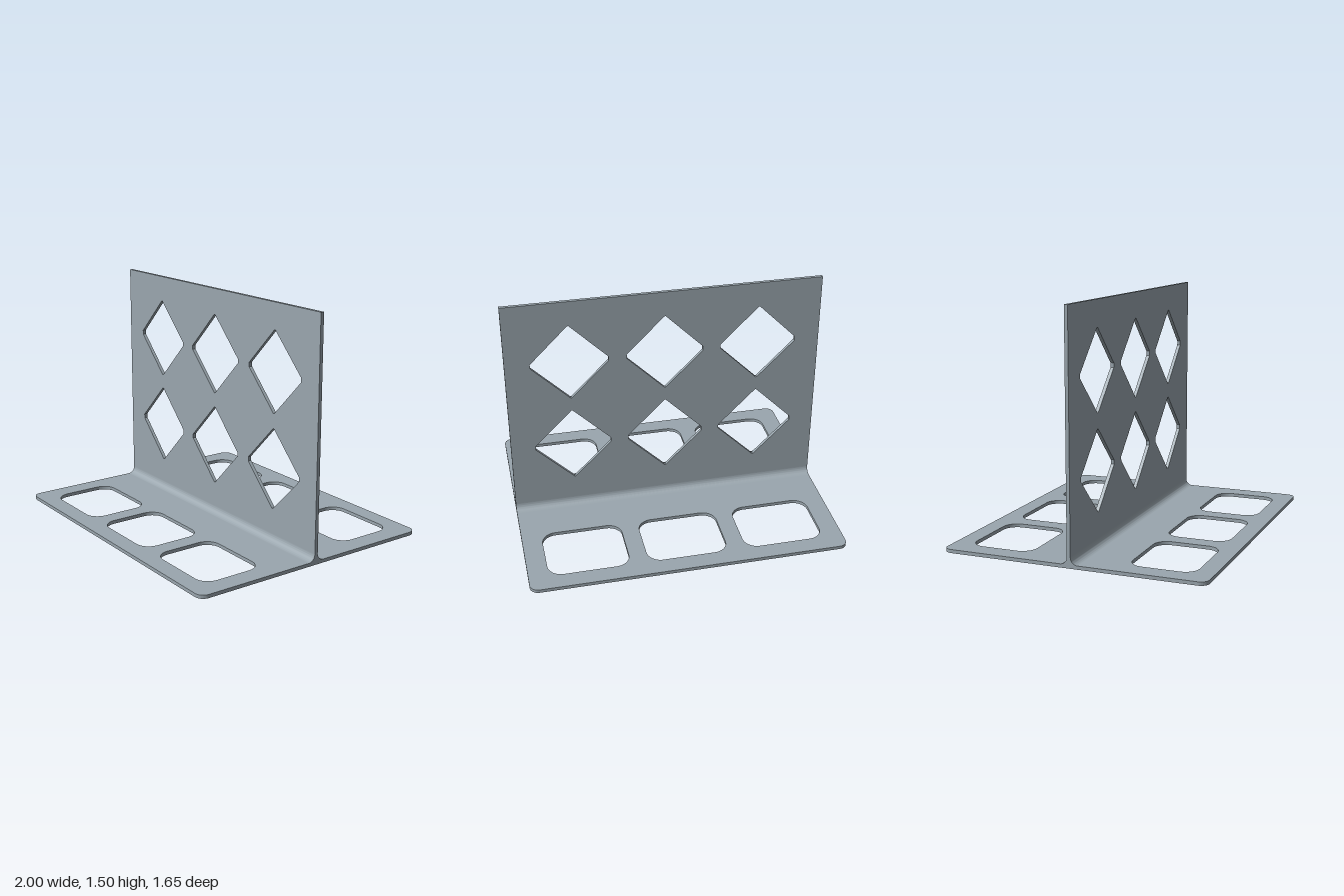
import * as THREE from 'three';
import { toCreasedNormals } from 'three/addons/utils/BufferGeometryUtils.js';

const PLATE = 0.022; // sheet thickness
const HEIGHT = 1.5;
const DEPTH = 1.65;
const COLUMNS = [-1, 0, 1];

// Rounded rectangle centred on (cx, cy), drawn into a Shape or Path
function roundedRect(path, cx, cy, w, h, r) {
  const x = w / 2, y = h / 2;
  path.moveTo(cx - x + r, cy - y);
  path.lineTo(cx + x - r, cy - y);
  path.absarc(cx + x - r, cy - y + r, r, -Math.PI / 2, 0);
  path.absarc(cx + x - r, cy + y - r, r, 0, Math.PI / 2);
  path.absarc(cx - x + r, cy + y - r, r, Math.PI / 2, Math.PI);
  path.absarc(cx - x + r, cy - y + r, r, Math.PI, Math.PI * 1.5);
  return path;
}

// Diamond opening with blunted side corners
function diamond(cx, cy) {
  const half = 0.257, side = 0.243, tip = 0.004;
  const flat = half - side;
  return new THREE.Path([
    [tip, half - tip], [-tip, half - tip], [-side, flat], [-side, -flat],
    [-tip, tip - half], [tip, tip - half], [side, -flat], [side, flat],
  ].map(([x, y]) => new THREE.Vector2(cx + x, cy + y)));
}

function extrude(shape, depth) {
  const geometry = new THREE.ExtrudeGeometry(shape, { depth, bevelEnabled: false, curveSegments: 10 });
  return toCreasedNormals(geometry, Math.PI / 6);
}

export function createModel() {
  const model = new THREE.Group();
  model.name = 'perforatedStand';
  const metal = new THREE.MeshStandardMaterial({ color: 0x9aa6ae });
  metal.name = 'blue grey metal';

  const add = (name, geometry) => {
    const mesh = new THREE.Mesh(geometry, metal);
    mesh.name = name;
    model.add(mesh);
  };

  // Base plate with two rows of rounded windows
  const base = roundedRect(new THREE.Shape(), 0, 0, 2, DEPTH, 0.055);
  for (const row of [-1, 1]) {
    for (const col of COLUMNS) {
      base.holes.push(roundedRect(new THREE.Path(), col * 0.62, row * 0.51, 0.508, 0.406, 0.09));
    }
  }
  add('basePlate', extrude(base, PLATE).rotateX(-Math.PI / 2));

  // Upright plate with two rows of diamonds
  const wall = new THREE.Shape();
  wall.moveTo(-1, PLATE);
  wall.lineTo(1, PLATE);
  wall.lineTo(1, HEIGHT);
  wall.lineTo(-1, HEIGHT);
  for (const y of [0.483, 1.083]) {
    for (const col of COLUMNS) wall.holes.push(diamond(col * 0.6, y));
  }
  add('uprightPlate', extrude(wall, PLATE).translate(0, 0, -PLATE / 2));

  // Concave fillets where the plates meet, front and back
  const r = 0.045;
  const fillet = new THREE.Shape();
  fillet.moveTo(0, 0);
  fillet.lineTo(r, 0);
  fillet.absarc(r, r, r, Math.PI * 1.5, Math.PI, true);
  for (const side of [-1, 1]) {
    const geometry = extrude(fillet, 2)
      .translate(PLATE / 2, PLATE, -1)
      .rotateY(-side * Math.PI / 2);
    add(side > 0 ? 'frontFillet' : 'backFillet', geometry);
  }
  return model;
}
